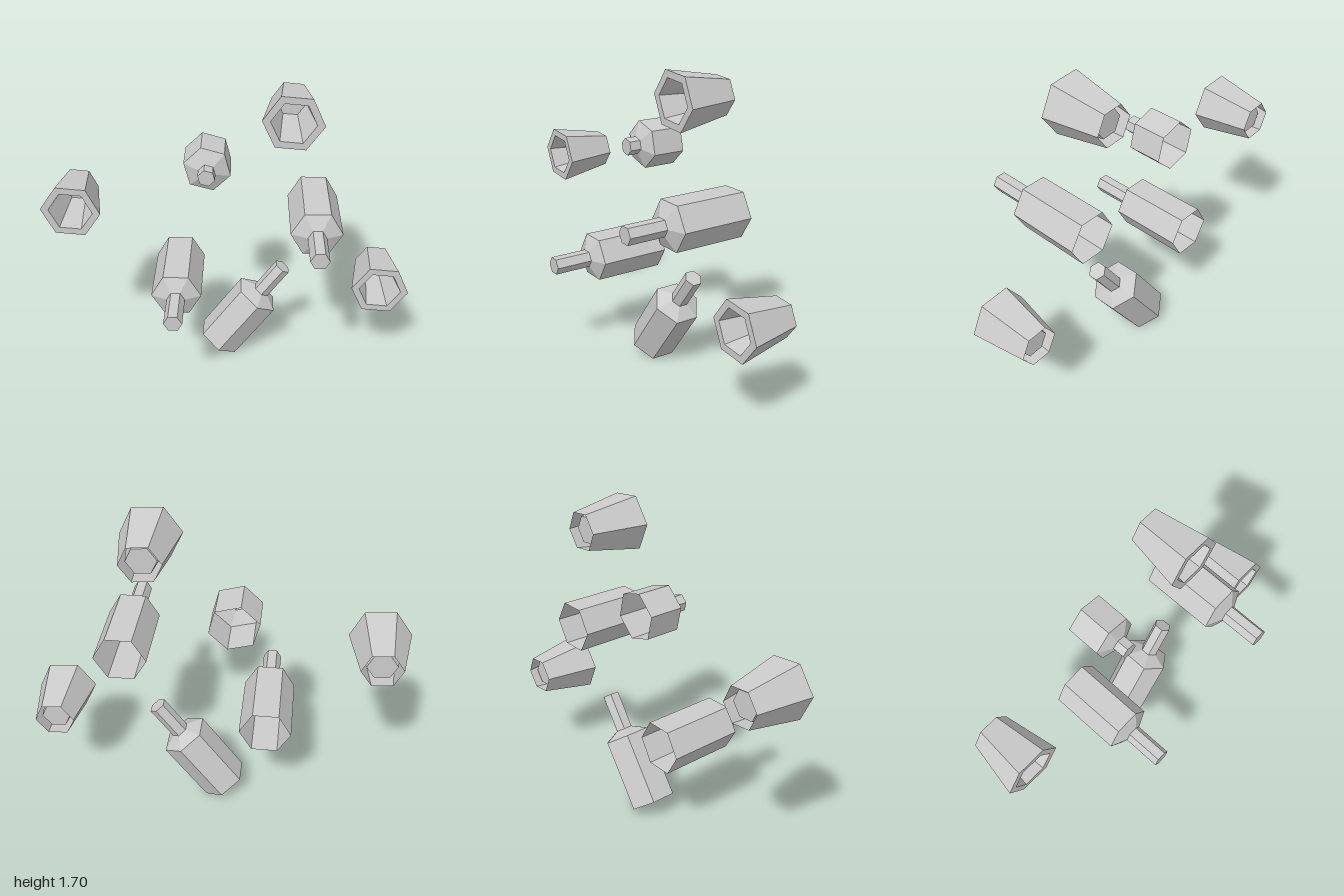
import * as THREE from 'three';

const DEG = Math.PI / 180;
const material = new THREE.MeshStandardMaterial({
  color: 0xcccccc, flatShading: true, side: THREE.DoubleSide,
});

// Six-sided turned part; profile is a list of [radius, height]
function hexLathe(name, profile, startDeg) {
  const points = profile.map(([r, h]) => new THREE.Vector2(r, h));
  const mesh = new THREE.Mesh(new THREE.LatheGeometry(points, 6, startDeg * DEG), material);
  mesh.name = name;
  return mesh;
}

// Hollow bottle, open at the base: body, shoulder, neck and closed tip
function bottle(name, radius, neckRadius, bodyH, shoulderH, totalH, startDeg) {
  return hexLathe(name, [
    [radius, 0], [radius, bodyH], [neckRadius, shoulderH], [neckRadius, totalH], [0, totalH],
  ], startDeg);
}

// Tapered cup: outer wall, rim, inner wall and a floor set in from the base
function cup(name, startDeg) {
  return hexLathe(name, [
    [0.105, 0], [0.159, 0.3], [0.117, 0.3], [0.077, 0.035], [0, 0.035],
  ], startDeg);
}

// Lays a part on its back so that its top faces the front
function layDown(mesh, x, y, z) {
  mesh.rotation.x = Math.PI / 2;
  mesh.position.set(x, y, z);
  return mesh;
}

export function createModel() {
  const model = new THREE.Group();
  model.name = 'bottlesAndCups';

  // Three cups
  const cups = [['topCup', 0.32, 1.565], ['rightCup', -0.842, 1.045], ['leftCup', 0.841, 0.556]];
  for (const [name, x, y] of cups) model.add(layDown(cup(name, 85), x, y, -0.33));

  // Two tall bottles pointing forward
  const bottles = [['leftBottle', 0.458, 0.994, -0.322], ['rightBottle', -0.288, 0.58, -0.335]];
  for (const [name, x, y, z] of bottles) {
    model.add(layDown(bottle(name, 0.137, 0.05, 0.406, 0.446, 0.658, 90), x, y, z));
  }

  // Short bottle
  model.add(layDown(bottle('shortBottle', 0.129, 0.047, 0.186, 0.222, 0.287, 134), -0.119, 1.244, -0.335));

  // Leaning bottle
  const leaning = bottle('leaningBottle', 0.134, 0.049, 0.39, 0.43, 0.635, 0);
  leaning.rotation.z = -35.1 * DEG;
  leaning.position.set(-0.063, 0.077, -0.197);
  model.add(leaning);

  return model;
}
